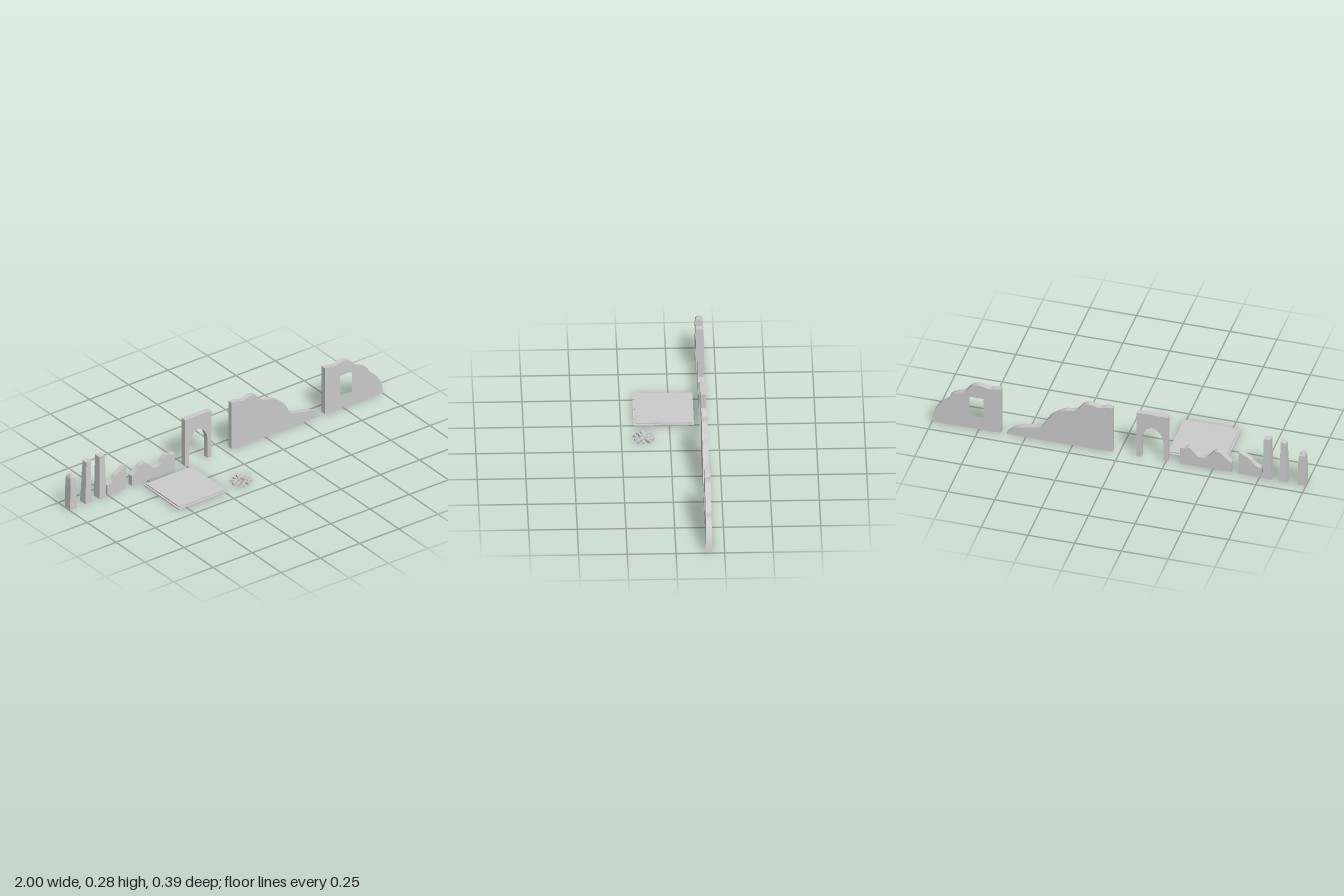
import * as THREE from 'three';

const mat = new THREE.MeshStandardMaterial({ color: 0xcccccc, flatShading: true });
const BASE = 0.005, WALL_Z = -0.17, WALL_T = 0.03;

function add(parent, name, geometry) {
  const mesh = new THREE.Mesh(geometry, mat);
  mesh.name = name;
  parent.add(mesh);
  return mesh;
}

// Upright slab with the outline in x, y
function wall(parent, name, shape) {
  const geo = new THREE.ExtrudeGeometry(shape, { depth: WALL_T, bevelEnabled: false, curveSegments: 10 });
  add(parent, name, geo.translate(0, 0, WALL_Z - WALL_T / 2));
}

// Straight foot and sides, broken crest running from left to right
function crestShape(crest) {
  const pts = crest.map(([x, y]) => new THREE.Vector2(x, y));
  const curve = new THREE.SplineCurve(pts).getPoints(pts.length * 3);
  return new THREE.Shape([
    new THREE.Vector2(crest[0][0], BASE), ...curve,
    new THREE.Vector2(crest[crest.length - 1][0], BASE)
  ]);
}

// Square column lofted through sections [y, x0, x1, z0, z1], with a tilted top
function column(sections, tilt) {
  const pos = [], idx = [];
  sections.forEach(([y, x0, x1, z0, z1], i) => {
    const t = i === sections.length - 1 ? tilt : 0;
    pos.push(x0, y - t, z1, x1, y, z1, x1, y, z0, x0, y - t, z0);
  });
  const last = (sections.length - 1) * 4;
  for (let i = 0; i < last; i += 4) {
    for (let k = 0; k < 4; k++) {
      const a = i + k, b = i + (k + 1) % 4;
      idx.push(a, b, b + 4, a, b + 4, a + 4);
    }
  }
  idx.push(0, 2, 1, 0, 3, 2, last, last + 1, last + 2, last, last + 2, last + 3);
  const geo = new THREE.BufferGeometry();
  geo.setAttribute('position', new THREE.Float32BufferAttribute(pos, 3));
  geo.setIndex(idx);
  const flat = geo.toNonIndexed();
  flat.computeVertexNormals();
  return flat;
}

export function createModel() {
  const model = new THREE.Group();
  model.name = 'ruins';

  // Long broken wall
  wall(model, 'longWall', crestShape([
    [0.035, 0.279], [0.065, 0.278], [0.10, 0.268], [0.135, 0.274], [0.17, 0.278], [0.20, 0.26],
    [0.23, 0.225], [0.29, 0.212], [0.335, 0.187], [0.375, 0.15], [0.405, 0.095], [0.43, 0.08],
    [0.48, 0.07], [0.535, 0.057], [0.57, 0.037], [0.60, 0.008]
  ]));

  // Broken wall with a window
  const windowWall = crestShape([
    [0.63, 0.278], [0.665, 0.274], [0.695, 0.268], [0.73, 0.278], [0.77, 0.277], [0.80, 0.255],
    [0.825, 0.225], [0.865, 0.21], [0.90, 0.187], [0.915, 0.155], [0.95, 0.128], [0.98, 0.085],
    [0.995, 0.04], [1.0, 0.008]
  ]);
  windowWall.holes.push(new THREE.Path([
    [0.724, 0.083], [0.724, 0.2], [0.8, 0.2], [0.8, 0.083]
  ].map(([x, y]) => new THREE.Vector2(x, y))));
  wall(model, 'windowWall', windowWall);

  // Gateway with a pointed arch
  const gate = new THREE.Shape();
  gate.moveTo(-0.262, BASE);
  gate.lineTo(-0.262, 0.279);
  gate.lineTo(-0.095, 0.279);
  gate.lineTo(-0.095, BASE);
  gate.lineTo(-0.12, BASE);
  gate.lineTo(-0.12, 0.115);
  gate.bezierCurveTo(-0.122, 0.165, -0.15, 0.19, -0.1785, 0.2);
  gate.bezierCurveTo(-0.207, 0.19, -0.235, 0.165, -0.237, 0.115);
  gate.lineTo(-0.237, BASE);
  gate.closePath();
  wall(model, 'archway', gate);

  // Low remnants
  wall(model, 'lowWall', crestShape([
    [-0.6, 0.063], [-0.57, 0.086], [-0.54, 0.114], [-0.51, 0.112], [-0.485, 0.085], [-0.465, 0.068],
    [-0.425, 0.066], [-0.395, 0.097], [-0.375, 0.113], [-0.35, 0.104], [-0.325, 0.105]
  ]));
  wall(model, 'wallStub', crestShape([
    [-0.755, 0.06], [-0.725, 0.075], [-0.703, 0.102], [-0.67, 0.122], [-0.64, 0.138]
  ]));

  // Three worn pillars
  add(model, 'shortPillar', column([
    [BASE, -1, -0.957, -0.194, -0.147], [0.15, -0.998, -0.96, -0.192, -0.149],
    [0.185, -0.996, -0.963, -0.19, -0.152], [0.206, -0.988, -0.972, -0.182, -0.159]
  ], 0.004));
  add(model, 'middlePillar', column([
    [BASE, -0.903, -0.858, -0.194, -0.147], [0.09, -0.899, -0.863, -0.191, -0.15],
    [0.17, -0.896, -0.863, -0.189, -0.152], [0.251, -0.892, -0.863, -0.187, -0.154]
  ], 0.006));
  add(model, 'tallPillar', column([
    [BASE, -0.815, -0.77, -0.194, -0.147], [0.251, -0.81, -0.775, -0.19, -0.152]
  ], 0));

  // Stepped floor slab
  [[0.31, 0.0055, 0.0078], [0.29, 0.0065, 0.0138]].forEach(([size, h, y], i) => {
    add(model, i ? 'floorTop' : 'floorBase', new THREE.BoxGeometry(size, h, size))
      .position.set(-0.395, y, 0.029);
  });

  // Heap of bricks laid in rings, with a few on top
  const rubble = new THREE.Group();
  rubble.name = 'rubble';
  rubble.position.set(-0.12, 0, 0.136);
  model.add(rubble);
  [[10, 0.042, 0.008], [6, 0.02, 0.0085], [4, 0.012, 0.0245]].forEach(([count, radius, y], ring) => {
    for (let i = 0; i < count; i++) {
      const a = (i + ring * 0.4) / count * Math.PI * 2;
      const r = radius + 0.004 * Math.sin(i * 2.4);
      const brick = add(rubble, 'brick', new THREE.BoxGeometry(0.026, 0.0155, 0.012));
      brick.position.set(r * Math.cos(a), y, r * Math.sin(a));
      brick.rotation.y = -a + 0.3 * Math.sin(i * 1.7);
    }
  });
  return model;
}
